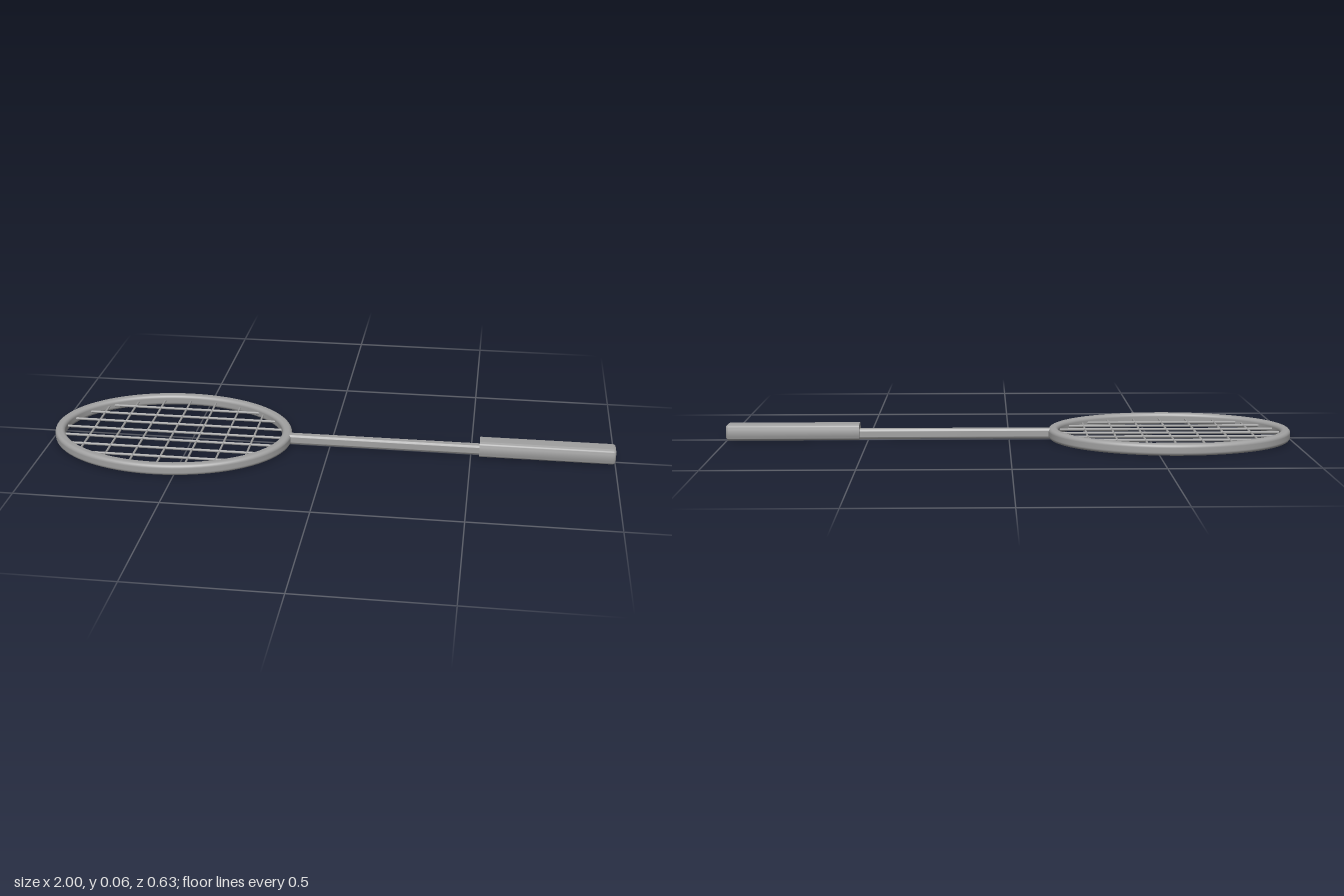
import * as THREE from 'three';
import { mergeVertices, toCreasedNormals } from 'three/addons/utils/BufferGeometryUtils.js';

const CX = -0.57, STRING_Y = 0.02;

// Rounded rectangle centred on the origin
function roundedRect(w, h, r) {
  const s = new THREE.Shape(), x = w / 2, y = h / 2;
  s.absarc(x - r, y - r, r, 0, Math.PI / 2);
  s.absarc(-x + r, y - r, r, Math.PI / 2, Math.PI);
  s.absarc(-x + r, -y + r, r, Math.PI, Math.PI * 1.5);
  s.absarc(x - r, -y + r, r, Math.PI * 1.5, Math.PI * 2);
  s.closePath();
  return s;
}

// Bar along x with a flat start and a softly bevelled far end
function bar(x0, x1, y0, y1, width, radius, bevel) {
  const shape = roundedRect(width - 2 * bevel, y1 - y0 - 2 * bevel, radius - bevel);
  let geo = new THREE.ExtrudeGeometry(shape, {
    depth: x1 - x0 - bevel, curveSegments: 5,
    bevelEnabled: bevel > 0, bevelSize: bevel, bevelThickness: bevel, bevelSegments: 3,
  });
  const p = geo.attributes.position;
  for (let i = 0; i < p.count; i++) p.setZ(i, Math.max(0, p.getZ(i)));
  geo = toCreasedNormals(geo, 0.7);
  geo.rotateY(Math.PI / 2);
  geo.translate(x0, (y0 + y1) / 2, 0);
  return geo;
}

// Oval hoop: a rounded section swept round a circle, then moved onto an ellipse
function hoop() {
  const section = roundedRect(0.035, 0.041, 0.013).getPoints(5)
    .map(p => new THREE.Vector2(1 + p.x, p.y));
  const geo = new THREE.LatheGeometry(section, 80);
  const p = geo.attributes.position;
  for (let i = 0; i < p.count; i++) {
    const x = p.getX(i), z = p.getZ(i), r = Math.hypot(x, z), u = r - 1;
    p.setXYZ(i, CX + (x / r) * (0.4125 + u), p.getY(i) + 0.0205, (z / r) * (0.295 + u));
  }
  geo.deleteAttribute('uv');
  geo.deleteAttribute('normal');
  const welded = mergeVertices(geo, 1e-5);
  welded.computeVertexNormals();
  return welded;
}

export function createModel() {
  const grey = new THREE.MeshStandardMaterial({ color: 0xa0a0a0 });
  grey.name = 'grey';
  const model = new THREE.Group();
  model.name = 'racket';
  const add = (parent, name, geo) => {
    const mesh = new THREE.Mesh(geo, grey);
    mesh.name = name;
    parent.add(mesh);
    return mesh;
  };

  add(model, 'headFrame', hoop());
  add(model, 'shaft', bar(-0.165, 0.54, 0.003, 0.04, 0.029, 0.009, 0));
  add(model, 'grip', bar(0.53, 1, 0.002, 0.059, 0.07, 0.016, 0.01));

  // String bed: seven strings each way, each ending inside the hoop
  const strings = new THREE.Group();
  strings.name = 'strings';
  model.add(strings);
  const A = 0.408, B = 0.29;
  for (let i = -3; i <= 3; i++) {
    const dx = i * 0.098, dz = i * 0.0675;
    const crossLength = 2 * B * Math.sqrt(1 - (dx / A) ** 2);
    const mainLength = 2 * A * Math.sqrt(1 - (dz / B) ** 2);
    const cross = add(strings, 'crossString', new THREE.CylinderGeometry(0.004, 0.004, crossLength, 8));
    cross.rotation.x = Math.PI / 2;
    cross.position.set(CX + dx, STRING_Y, 0);
    const main = add(strings, 'mainString', new THREE.CylinderGeometry(0.005, 0.005, mainLength, 8));
    main.rotation.z = Math.PI / 2;
    main.position.set(CX, STRING_Y, dz);
  }
  return model;
}
